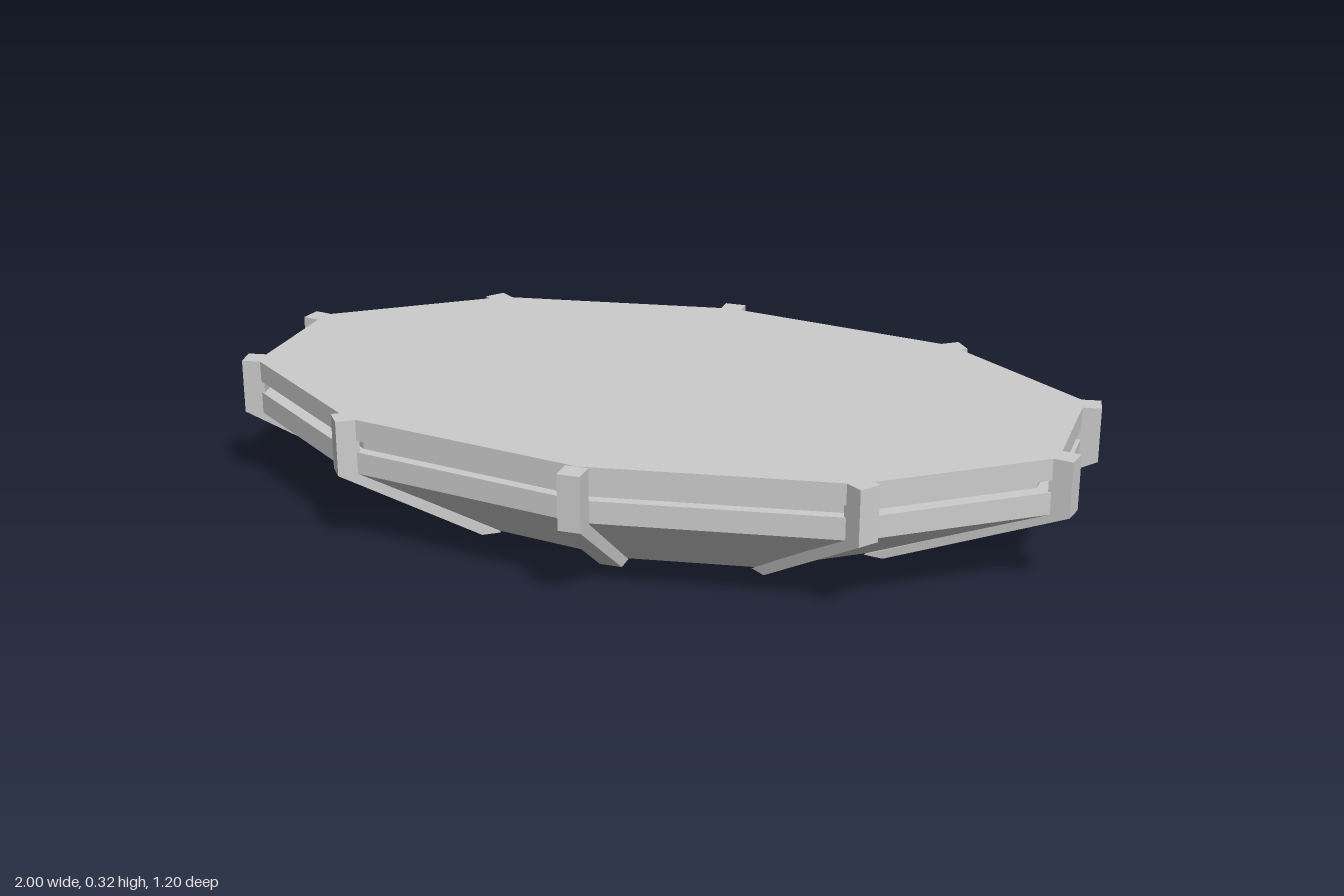
import * as THREE from 'three';

const material = new THREE.MeshStandardMaterial({ color: 0xcccccc, flatShading: true });
const SHIFT = -0.008; // the hull sits slightly towards the back

// Ten-sided outline, [x, z], running round from the front
const OUTLINE = [
  [0, 0.555], [0.585, 0.457], [0.957, 0.18], [0.957, -0.18], [0.585, -0.457],
  [0, -0.555], [-0.585, -0.457], [-0.957, -0.18], [-0.957, 0.18], [-0.585, 0.457],
];

// Stack scaled copies of the outline, [scale, y], from bottom to top, and cap both ends
function loft(name, levels) {
  const n = OUTLINE.length;
  const pos = [];
  const index = [];
  for (const [s, y] of levels) for (const [x, z] of OUTLINE) pos.push(x * s, y, z * s + SHIFT);
  for (let l = 0; l < levels.length - 1; l++) {
    for (let i = 0; i < n; i++) {
      const a = l * n + i, b = l * n + (i + 1) % n;
      index.push(a, b, b + n, a, b + n, a + n);
    }
  }
  const top = (levels.length - 1) * n;
  for (let i = 1; i < n - 1; i++) {
    index.push(0, i + 1, i);
    index.push(top, top + i, top + i + 1);
  }
  const indexed = new THREE.BufferGeometry();
  indexed.setAttribute('position', new THREE.Float32BufferAttribute(pos, 3));
  indexed.setIndex(index);
  const geometry = indexed.toNonIndexed();
  geometry.computeVertexNormals();
  const mesh = new THREE.Mesh(geometry, material);
  mesh.name = name;
  return mesh;
}

// Bent rib: upright beside the rim, then sloping in to the base
function rib(x, z, degrees) {
  const width = 0.052;
  const reach = Math.hypot(x, z) * 0.425;
  const shape = new THREE.Shape([
    [0, 0.32], [-0.052, 0.32], [-0.052, 0.19], [-reach - 0.045, 0], [-reach, 0], [0, 0.19],
  ].map(([u, v]) => new THREE.Vector2(u, v)));
  const geometry = new THREE.ExtrudeGeometry(shape, { depth: width, bevelEnabled: false });
  geometry.translate(0, 0, -width / 2);
  const mesh = new THREE.Mesh(geometry, material);
  mesh.name = 'rib';
  mesh.position.set(x, 0, z);
  mesh.rotation.y = -THREE.MathUtils.degToRad(degrees);
  return mesh;
}

export function createModel() {
  const model = new THREE.Group();
  model.name = 'ribbedPlatform';

  // Tapered hull with a groove round its rim and a flat deck
  model.add(loft('hull', [
    [0.555, 0], [1, 0.19], [1, 0.242], [0.955, 0.242],
    [0.955, 0.27], [1, 0.27], [1, 0.32],
  ]));

  // One rib on every corner, mirrored in x and z
  const ribs = new THREE.Group();
  ribs.name = 'ribs';
  for (const sz of [1, -1]) {
    ribs.add(rib(0, 0.6 * sz, 90 * sz));
    for (const sx of [1, -1]) {
      for (const [x, z, angle] of [[0.615, 0.467, 37], [0.995, 0.17, 10]]) {
        ribs.add(rib(x * sx, z * sz + SHIFT, sz * (sx > 0 ? angle : 180 - angle)));
      }
    }
  }
  model.add(ribs);
  return model;
}
